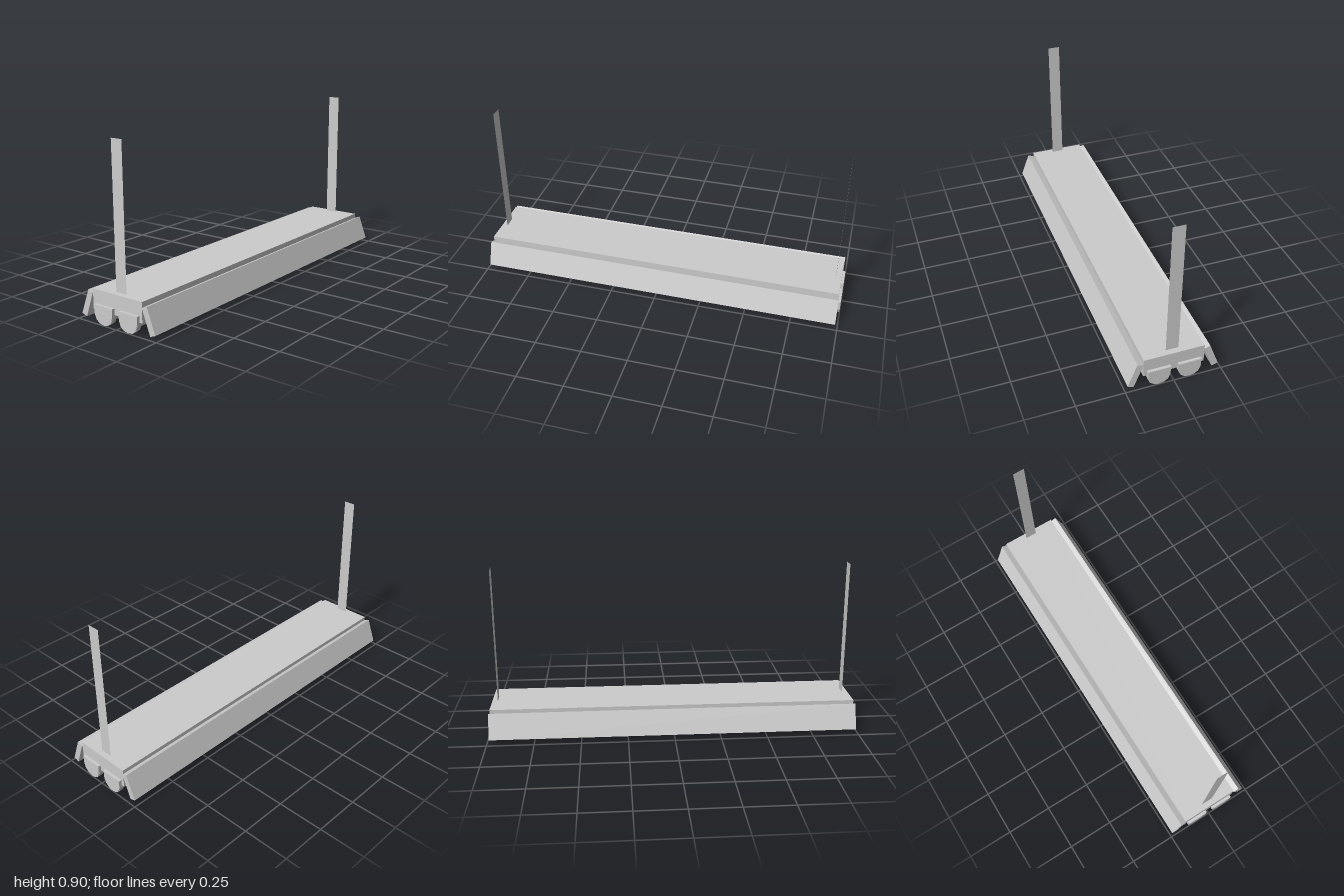
import * as THREE from 'three';

const material = new THREE.MeshStandardMaterial({ color: 0xcccccc });
const flat = new THREE.MeshStandardMaterial({ color: 0xcccccc, flatShading: true });
const sheet = new THREE.MeshStandardMaterial({ color: 0xcccccc, side: THREE.DoubleSide });

export function createModel() {
  const group = new THREE.Group();
  const add = (name, geometry, mat, x = 0, y = 0, z = 0) => {
    const mesh = new THREE.Mesh(geometry, mat);
    mesh.name = name;
    mesh.position.set(x, y, z);
    group.add(mesh);
    return mesh;
  };

  // Extrude an outline along z, centred on its own middle
  const prism = (points, depth) => {
    const shape = new THREE.Shape(points.map(([x, y]) => new THREE.Vector2(x, y)));
    return new THREE.ExtrudeGeometry(shape, { depth, bevelEnabled: false }).translate(0, 0, -depth / 2);
  };

  // Long housing
  add('housing', new THREE.BoxGeometry(0.315, 0.103, 1.97), flat, -0.003, 0.118, 0);

  // Slanted side reflectors
  add('rightReflector', prism([[-0.238, 0.029], [-0.206, 0.019], [-0.16, 0.148], [-0.189, 0.16]], 1.976), flat);
  add('leftReflector', prism([[0.204, 0.014], [0.235, 0.026], [0.187, 0.155], [0.156, 0.143]], 1.976), flat);

  // U-shaped holder outline: flat top, faceted round bottom
  const holder = (s) => [
    [-0.06, 0.099], [-0.059, 0.052], [-0.048, 0.025], [-0.027, 0.008], [0, 0.002],
    [0.027, 0.008], [0.048, 0.025], [0.059, 0.052], [0.06, 0.099],
  ].map(([x, y]) => [x * s, 0.055 + (y - 0.055) * s]);

  // Two lamp tubes, each with a holder at both ends
  for (const [side, x] of [['right', -0.082], ['left', 0.077]]) {
    const tube = new THREE.CylinderGeometry(0.042, 0.042, 1.95, 24).rotateX(Math.PI / 2);
    add(side + 'LampTube', tube, material, x, 0.06, 0);
    for (const [end, dir] of [['front', 1], ['back', -1]]) {
      add(`${side}Holder_${end}`, prism(holder(1), 0.027), flat, x, 0, dir * 0.9835);
      add(`${side}HolderFace_${end}`, prism(holder(0.97), 0.004), flat, x, 0, dir * 0.998);
    }
  }

  // Thin hanging straps near both ends
  for (const [end, z] of [['front', 0.955], ['back', -0.955]]) {
    add(end + 'Strap', new THREE.PlaneGeometry(0.066, 0.732), sheet, -0.002, 0.535, z);
  }
  return group;
}
